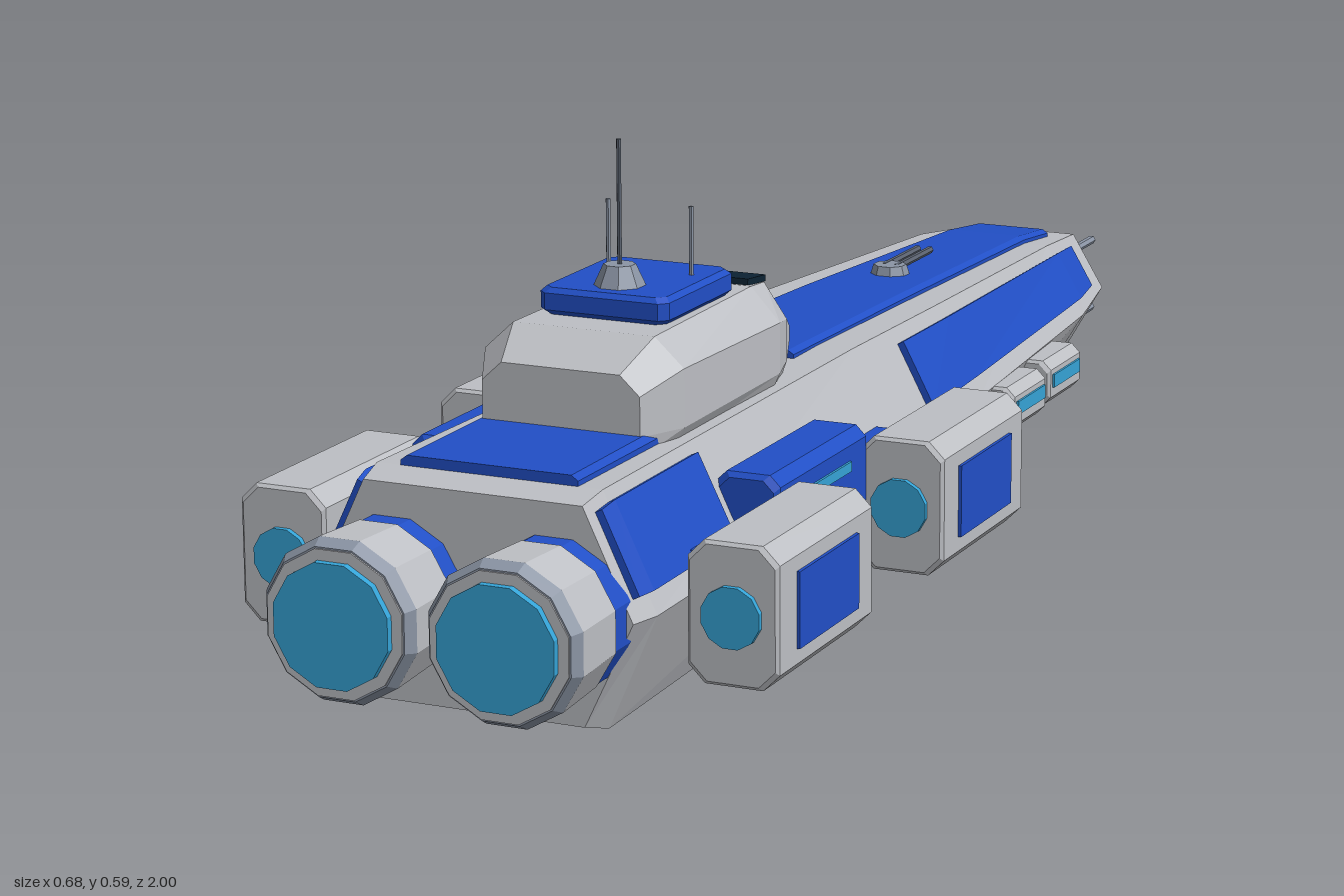
import * as THREE from 'three';

const mat = (name, color, side = THREE.FrontSide) => {
  const m = new THREE.MeshStandardMaterial({ color, side, flatShading: true });
  m.name = name;
  return m;
};

// Flat-faced loft through rings of points; convex end caps; turned outward by signed volume
function loft(rings, capStart = true, capEnd = true) {
  let tris = [];
  const n = rings[0].length;
  for (let i = 0; i < rings.length - 1; i++) {
    const a = rings[i], b = rings[i + 1];
    for (let j = 0; j < n; j++) {
      const k = (j + 1) % n;
      tris.push([a[j], a[k], b[k]], [a[j], b[k], b[j]]);
    }
  }
  const first = rings[0], last = rings[rings.length - 1];
  for (let j = 1; j < n - 1; j++) {
    if (capStart) tris.push([first[0], first[j + 1], first[j]]);
    if (capEnd) tris.push([last[0], last[j], last[j + 1]]);
  }
  const volume = tris.reduce((v, [a, b, c]) => v
    + a[0] * (b[1] * c[2] - b[2] * c[1])
    + a[1] * (b[2] * c[0] - b[0] * c[2])
    + a[2] * (b[0] * c[1] - b[1] * c[0]), 0);
  if (volume < 0) tris = tris.map(([a, b, c]) => [a, c, b]);
  const g = new THREE.BufferGeometry();
  g.setAttribute('position', new THREE.Float32BufferAttribute(tris.flat(2), 3));
  g.computeVertexNormals();
  return g;
}

// Box with chamfered long edges (c) and inset ends (e)
function chamferBox(w, h, d, c, e) {
  const ring = (z, inset) => {
    const x = w / 2 - inset, y = h / 2 - inset;
    return [[x, y - c], [x - c, y], [c - x, y], [-x, y - c], [-x, c - y], [c - x, -y], [x - c, -y], [x, c - y]]
      .map(([px, py]) => [px, py, z]);
  };
  return loft([ring(-d / 2, e), ring(e - d / 2, 0), ring(d / 2 - e, 0), ring(d / 2, e)]);
}

// Faceted cylinder along y, or along z (first radius at +z)
function cyl(rTop, rBottom, h, sides, alongZ = true) {
  const g = new THREE.CylinderGeometry(rTop, rBottom, h, sides);
  g.rotateY(Math.PI / sides);
  if (alongZ) g.rotateX(Math.PI / 2);
  return g;
}

// Hull stations: z, bottom (half width, y), widest (half width, y), deck (half width, y)
const STATIONS = [
  [0.86, 0.135, 0.012, 0.195, 0.137, 0.135, 0.263],
  [0.82, 0.145, 0, 0.205, 0.137, 0.14, 0.272],
  [0.1, 0.132, 0.004, 0.197, 0.137, 0.128, 0.267],
  [-0.2, 0.12, 0.016, 0.18, 0.139, 0.118, 0.257],
  [-0.67, 0.09, 0.046, 0.15, 0.145, 0.095, 0.239],
  [-0.83, 0.07, 0.062, 0.12, 0.148, 0.075, 0.222],
];
const hullRing = ([z, bw, by, mw, my, tw, ty]) =>
  [[bw, by, z], [mw, my, z], [tw, ty, z], [-tw, ty, z], [-mw, my, z], [-bw, by, z]];
function hullAt(z) {
  let i = 0;
  while (i < STATIONS.length - 2 && z < STATIONS[i + 1][0]) i++;
  const a = STATIONS[i], b = STATIONS[i + 1], t = (z - a[0]) / (b[0] - a[0]);
  return a.map((v, k) => v + (b[k] - v) * t);
}

export function createModel() {
  const model = new THREE.Group();
  model.name = 'spaceship';
  const grey = mat('hull grey', 0xbdbfc4);
  const blue = mat('panel blue', 0x214fc6);
  const cyan = mat('glow cyan', 0x35a3d6);
  const steel = mat('steel', 0x8b95a5);
  const dark = mat('dark recess', 0x0c2233, THREE.DoubleSide);
  const gunmetal = mat('gunmetal', 0x5b6370);

  const add = (name, geometry, material, x = 0, y = 0, z = 0) => {
    const m = new THREE.Mesh(geometry, material);
    m.name = name;
    m.position.set(x, y, z);
    model.add(m);
    return m;
  };

  // Hull with an open, recessed nose
  const shrink = (ring, s, z) => ring.map(([x, y]) => [x * s, 0.142 + (y - 0.142) * s, z]);
  const rings = STATIONS.map(hullRing);
  const nose = rings[rings.length - 1];
  const rim = shrink(nose, 0.87, -0.83);
  add('hull', loft([...rings, rim], true, false), grey);
  add('noseRecess', loft([shrink(nose, 0.8, -0.76), rim], true, false), dark);

  // Nose cannon with four prongs
  add('cannonCollar', cyl(0.052, 0.052, 0.13, 10), blue, 0, 0.142, -0.825);
  add('cannonBarrel', cyl(0.034, 0.034, 0.06, 8), cyan, 0, 0.142, -0.91);
  add('cannonTip', cyl(0.034, 0, 0.07, 8), cyan, 0, 0.142, -0.965);
  for (const x of [-0.065, 0.065]) for (const y of [0.092, 0.192])
    add('noseProng', cyl(0.006, 0.006, 0.17, 6), steel, x, y, -0.85);

  // Deck panels following the hull top
  const deckRing = (z, w, lift) => {
    const y = hullAt(z)[6];
    return [[w, y - 0.004, z], [w, y + lift * 0.5, z], [w - 0.008, y + lift, z],
      [0.008 - w, y + lift, z], [-w, y + lift * 0.5, z], [-w, y - 0.004, z]];
  };
  add('foreDeckPanel', loft([deckRing(0.18, 0.083, 0.01), deckRing(-0.2, 0.074, 0.01),
    deckRing(-0.67, 0.06, 0.01), deckRing(-0.775, 0.056, 0.01)]), blue);
  add('aftDeckPanel', loft([deckRing(0.82, 0.11, 0.012), deckRing(0.6, 0.11, 0.014)]), blue);

  // Deck turret
  add('turretBase', cyl(0.022, 0.027, 0.016, 8, false), steel, 0, 0.267, -0.325);
  for (const x of [-0.009, 0.009]) add('turretBarrel', cyl(0.005, 0.005, 0.12, 6), gunmetal, x, 0.271, -0.385);

  // Bridge: z, base half width, shoulder (half width, y), roof (half width, y)
  const bridgeRing = ([z, bw, w, sy, tw, ty]) =>
    [[bw, 0.255, z], [w, 0.283, z], [w, sy, z], [tw, ty, z], [-tw, ty, z], [-w, sy, z], [-w, 0.283, z], [-bw, 0.255, z]];
  add('bridge', loft([
    [0.645, 0.095, 0.1, 0.33, 0.075, 0.353],
    [0.585, 0.11, 0.127, 0.352, 0.09, 0.386],
    [0.31, 0.11, 0.123, 0.345, 0.085, 0.386],
    [0.25, 0.095, 0.105, 0.335, 0.075, 0.378],
    [0.14, 0.055, 0.06, 0.297, 0.045, 0.315],
  ].map(bridgeRing)), grey);
  add('bridgeWindow', new THREE.BoxGeometry(0.155, 0.008, 0.052), dark, 0, 0.386, 0.277).rotation.x = -0.1;
  const roof = chamferBox(0.165, 0.19, 0.032, 0.01, 0.006);
  roof.rotateX(Math.PI / 2);
  add('bridgeRoof', roof, blue, 0, 0.402, 0.445);

  // Antennas
  add('mastBase', cyl(0.019, 0.031, 0.026, 8, false), steel, 0, 0.43, 0.49);
  add('mast', cyl(0.003, 0.003, 0.15, 6, false), gunmetal, 0, 0.515, 0.49);
  for (const x of [-0.054, 0.054]) add('sideAntenna', cyl(0.003, 0.003, 0.09, 6, false), steel, x, 0.455, 0.41);

  for (const s of [-1, 1]) {
    // Main engines
    const ex = s * 0.1, ey = 0.137;
    add('engineCollar', cyl(0.09, 0.09, 0.04, 12), blue, ex, ey, 0.87);
    add('engineBell', cyl(0.096, 0.092, 0.085, 12), grey, ex, ey, 0.9325);
    add('engineRim', cyl(0.088, 0.096, 0.014, 12), steel, ex, ey, 0.982);
    add('engineFace', cyl(0.086, 0.086, 0.003, 12), grey, ex, ey, 0.9895);
    add('engineGlow', cyl(0.073, 0.073, 0.02, 12), cyan, ex, ey, 0.99);

    // Plates on the upper side slopes
    const slope = (z, t, out) => {
      const [, , , mw, my, tw, ty] = hullAt(z);
      const len = Math.hypot(mw - tw, ty - my);
      return [s * (mw + (tw - mw) * t + out * (ty - my) / len), my + (ty - my) * t + out * (mw - tw) / len, z];
    };
    const plate = (name, zs, t0, t1) => add(name, loft(zs.map(z =>
      [slope(z, t0, -0.003), slope(z, t0, 0.009), slope(z, t1, 0.009), slope(z, t1, -0.003)])), blue);
    plate('foreSidePanel', [-0.03, -0.2, -0.67, -0.755], 0.2, 0.85);
    plate('aftSidePanel', [0.845, 0.82, 0.6], 0.18, 0.9);

    // Midship sponson with light strip
    add('sponson', chamferBox(0.08, 0.115, 0.26, 0.013, 0.006), blue, s * 0.197, 0.175, 0.44);
    add('sponsonLight', new THREE.BoxGeometry(0.006, 0.012, 0.16), cyan, s * 0.237, 0.195, 0.445);

    // Outrigger pods
    for (const z of [0.185, 0.66]) {
      const px = s * 0.281;
      add('podStrut', new THREE.BoxGeometry(0.1, 0.065, 0.1), blue, s * 0.2, 0.148, z);
      add('pod', chamferBox(0.11, 0.164, 0.262, 0.02, 0.004), grey, px, 0.138, z);
      add('podSidePanel', new THREE.BoxGeometry(0.008, 0.088, 0.165), blue, s * 0.336, 0.138, z);
      add('podThruster', cyl(0.036, 0.036, 0.012, 12), cyan, px, 0.137, z + 0.132);
      for (const y of [0.1, 0.176]) {
        add('podTubeRim', cyl(0.036, 0.036, 0.014, 12), steel, px, y, z - 0.135);
        add('podTubeLens', cyl(0.029, 0.029, 0.004, 12), cyan, px, y, z - 0.143);
      }
    }

    // Row of small side bays
    for (let i = 0; i < 4; i++) {
      const z = -0.005 - i * 0.155, outer = 0.222 - i * 0.008;
      add('sideBay', chamferBox(0.09, 0.062, 0.12, 0.012, 0.004), grey, s * (outer - 0.045), 0.109, z);
      add('sideBayLight', new THREE.BoxGeometry(0.006, 0.018, 0.1), cyan, s * outer, 0.112, z);
    }
  }
  return model;
}
